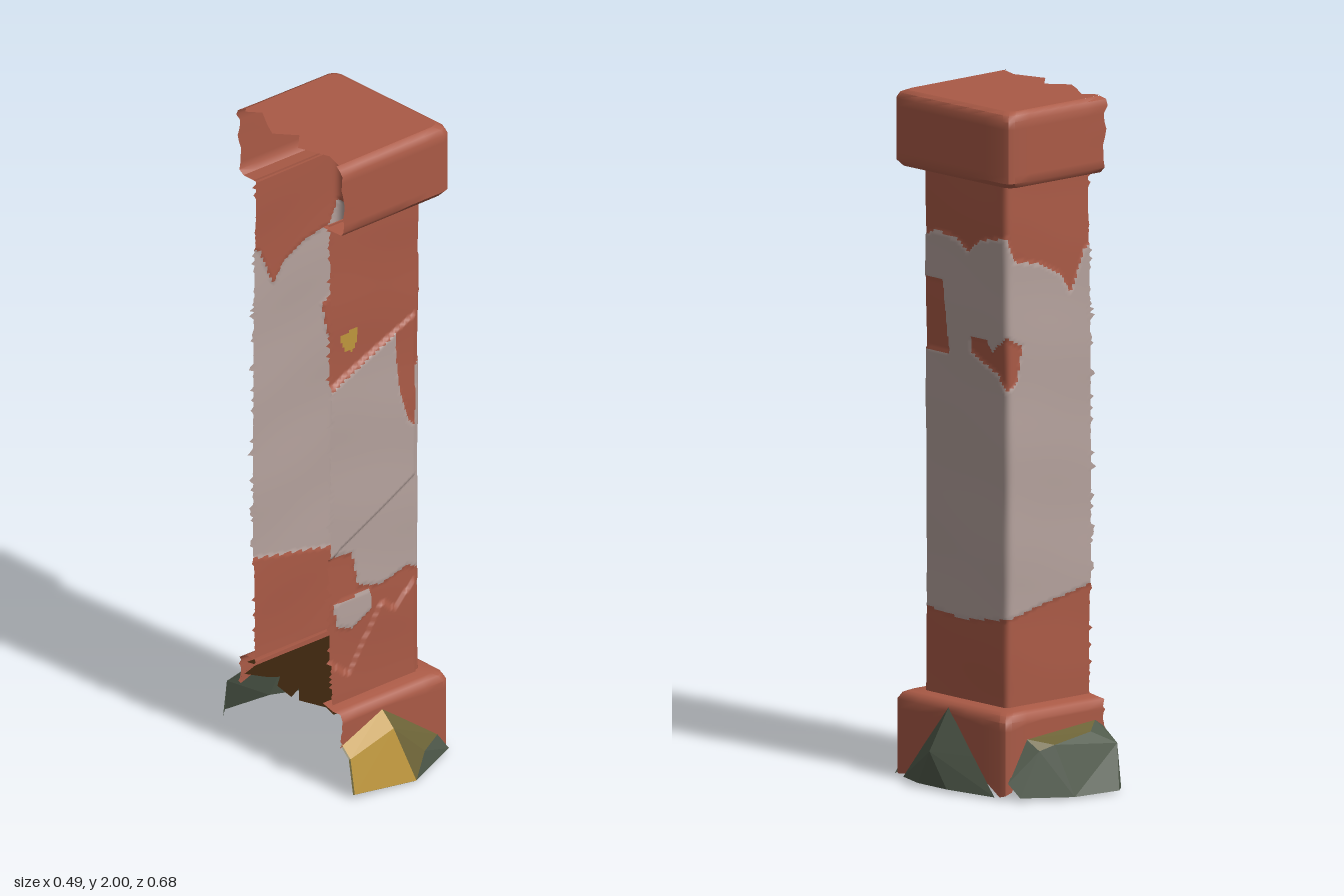
import * as THREE from 'three';
import { toCreasedNormals } from 'three/addons/utils/BufferGeometryUtils.js';

const mat = (name, color) => new THREE.MeshStandardMaterial({ name, color, side: THREE.DoubleSide });

// Seeded noise for the torn edges
let seed = 7;
const rnd = () => (seed = (seed * 16807) % 2147483647) / 2147483647;

function inside(poly, x, y) {
  let hit = false;
  for (let i = 0, j = poly.length - 1; i < poly.length; j = i++) {
    const [ax, ay] = poly[i], [bx, by] = poly[j];
    if ((ay > y) !== (by > y) && x < ((bx - ax) * (y - ay)) / (by - ay) + ax) hit = !hit;
  }
  return hit;
}

function buffer(pos, index) {
  const g = new THREE.BufferGeometry();
  g.setAttribute('position', new THREE.Float32BufferAttribute(pos, 3));
  g.setIndex(index);
  return g;
}

// Painted areas on the unrolled shaft: s runs front -> right side -> back, 0 at the front corner
const plasterArea = [
  [-0.4, 1.23], [-0.1, 1.36], [-0.097, 1.29], [-0.085, 1.18], [-0.05, 1.07], [-0.025, 1.05], [-0.015, 1.23], [0.005, 1.25],
  [0.005, 1.58], [0.055, 1.6], [0.145, 1.59], [0.195, 1.56], [0.245, 1.6], [0.355, 1.62], [0.385, 1.55], [0.485, 1.53],
  [0.56, 1.49], [0.6, 1.43], [0.65, 1.55], [0.7, 1.58], [0.7, 0.58], [0.5, 0.54], [0.36, 0.51], [0.17, 0.485],
  [0.01, 0.5], [0, 0.58], [-0.05, 0.6], [-0.15, 0.575], [-0.235, 0.6], [-0.255, 0.71], [-0.4, 0.73]];
const plasterScrap = [[-0.33, 0.565], [-0.19, 0.575], [-0.185, 0.51], [-0.26, 0.47], [-0.315, 0.49]];
const holes = [
  [[0.004, 1.46], [0.085, 1.46], [0.11, 1.25], [0.004, 1.25]],
  [[0.2, 1.31], [0.27, 1.31], [0.29, 1.28], [0.35, 1.33], [0.41, 1.3], [0.39, 1.2], [0.355, 1.17], [0.31, 1.22],
    [0.24, 1.25], [0.2, 1.27]]];
const ochreSpot = [[-0.307, 1.42], [-0.24, 1.428], [-0.238, 1.385], [-0.26, 1.357], [-0.287, 1.365]];
// Raised chunk of brick at the foot of the front
const chunk = [[-0.4, 0.42], [-0.275, 0.33], [-0.15, 0.52], [-0.1, 0.48], [0, 0.57], [0, 0], [-0.4, 0]];

function paint(s, y) {
  if (inside(ochreSpot, s, y)) return 2;
  if (holes.some((h) => inside(h, s, y))) return 0;
  return inside(plasterArea, s, y) || inside(plasterScrap, s, y) ? 1 : 0;
}

// Shaft: an open U-shaped wall with rounded corners, relief and a torn left edge
function shaftGeometry() {
  const cols = 128, rows = 190, r = 0.022, pos = [], lists = [[], [], []];
  const V = (x, z) => new THREE.Vector2(x, z);
  const FL = V(-0.187, 0.197), FR = V(0.155, 0.171), BR = V(0.125, -0.184), BL = V(-0.187, -0.157);
  const dir = (a, b) => b.clone().sub(a).normalize();
  const dF = dir(FL, FR), dS = dir(FR, BR), dB = dir(BR, BL);
  const side = FR.distanceTo(BR), s0 = -FL.distanceTo(FR), s1 = side + BR.distanceTo(BL);
  const ds = (s1 - s0) / cols, dy = 1.56 / rows;
  const round = (C, a, b, d) => {
    const t = (d + r) / (2 * r);
    return C.clone().addScaledVector(a, -r * (1 - t) ** 2).addScaledVector(b, r * t * t);
  };
  const at = (s) => {
    if (s < -r) return FR.clone().addScaledVector(dF, s);
    if (s < r) return round(FR, dF, dS, s);
    if (s < side - r) return FR.clone().addScaledVector(dS, s);
    if (s < side + r) return round(BR, dS, dB, s - side);
    return BR.clone().addScaledVector(dB, s - side);
  };
  for (let j = 0; j <= rows; j++) {
    const y = 0.23 + dy * j, lean = 0.004 * Math.cos(y * 3.6);
    for (let i = 0; i <= cols; i++) {
      const s = s0 + ds * i, p = at(s);
      const tangent = dir(at(s - 0.001), at(s + 0.001));
      // Plaster sits proud; the upper front slab overlaps the lower one
      let h = paint(s, y) === 1 ? 0.003 : 0;
      if (s < -r && y > 0.9 + 0.53 * s && y < 1.41 + 0.42 * s) h += 0.008;
      if (s < -r && inside(chunk, s, y)) h += 0.008;
      h += 0.002 * Math.sin(9 * s + 7 * y) * Math.sin(13 * y - 4 * s);
      const tear = i === 0 || i === cols ? -0.02 * rnd() ** 7 : 0;
      pos.push(p.x - tangent.y * h + lean + tear, y, p.y + tangent.x * h);
      if (i < cols && j < rows) {
        const a = j * (cols + 1) + i, c = a + cols + 1;
        lists[paint(s + ds / 2, y + dy / 2)].push(a, a + 1, c + 1, a, c + 1, c);
      }
    }
  }
  const g = buffer(pos, lists.flat());
  let start = 0;
  lists.forEach((l, k) => { g.addGroup(start, l.length, k); start += l.length; });
  g.computeVertexNormals();
  return g;
}

// Open block wall from [y, inset] rings around four corners: front-left, front-right, back-right, back-left.
// The optional skirt lifts the lower edge, point by point, to where the rocks cover it.
const wallTop = 0.225;
function blockGeometry([fl, fr, br, bl], rings, skirt) {
  const pos = [], index = [], c = 0.025;
  rings.forEach(([y, d], j) => {
    const f = [fr[0] - d, fr[1] - d], b = [br[0] - d, br[1] + d], path = [];
    const run = (p, q) => {
      for (let k = 0; k <= 6; k++) path.push([p[0] + ((q[0] - p[0]) * k) / 6, p[1] + ((q[1] - p[1]) * k) / 6]);
    };
    run([fl[0], fl[1] - d], [f[0] - c, f[1]]);
    path.push([f[0] - c * 0.3, f[1] - c * 0.3]);
    run([f[0], f[1] - c], [b[0], b[1] + c]);
    path.push([b[0] - c * 0.3, b[1] + c * 0.3]);
    run([b[0] - c, b[1]], [bl[0], bl[1] + d]);
    const n = path.length;
    path.forEach(([x, z], i) => {
      const lift = skirt && y < wallTop ? skirt[i] * (1 - y / wallTop) : 0;
      const tear = i === 0 || i === n - 1 ? -0.018 * rnd() ** 2 : 0;
      pos.push(x + tear, y + lift, z);
      if (j && i < n - 1) {
        const a = (j - 1) * n + i;
        index.push(a, a + 1, a + n + 1, a, a + n + 1, a + n);
      }
    });
  });
  return toCreasedNormals(buffer(pos, index), 0.7);
}

// Flat horizontal plate from an [x, z] outline
function plateGeometry(outline, y) {
  const g = new THREE.ShapeGeometry(new THREE.Shape(outline.map(([x, z]) => new THREE.Vector2(x, -z))));
  return g.rotateX(-Math.PI / 2).translate(0, y, 0);
}

// Faceted rock skin
function rockGeometry(points, faces) {
  const g = buffer(points.flat(), faces.flat()).toNonIndexed();
  g.computeVertexNormals();
  return g;
}

export function createModel() {
  const model = new THREE.Group();
  const brick = mat('brick red', 0xaa5a46), plaster = mat('plaster grey', 0xb5a29d);
  const ochre = mat('ochre', 0xc0983d), olive = mat('olive', 0x6c6337);
  const green = mat('moss green', 0x4f594a), soil = mat('dark soil', 0x3a230d);
  const add = (name, geometry, material) => {
    const m = new THREE.Mesh(geometry, material);
    m.name = name;
    model.add(m);
  };
  const wall = (y0, y1) => Array.from({ length: 9 }, (_, i) => [y0 + ((y1 - y0) * i) / 8, 0]);

  add('shaft', shaftGeometry(), [brick, plaster, ochre]);

  // Cap with bevelled rims and a torn top
  const cap = [[-0.188, 0.268], [0.218, 0.235], [0.175, -0.25], [-0.185, -0.225]];
  add('capWall', blockGeometry(cap, [[1.785, 0.08], [1.78, 0.012], ...wall(1.795, 1.975), [1.992, 0.008], [2, 0.025]]), brick);
  add('capTop', plateGeometry([
    [-0.188, 0.243], [0.168, 0.21], [0.1855, 0.2025], [0.193, 0.185], [0.15, -0.2], [0.1425, -0.2175], [0.125, -0.225],
    [-0.185, -0.2], [-0.2, -0.185], [-0.165, -0.15], [-0.2, -0.08], [-0.22, -0.03], [-0.165, 0.025], [-0.215, 0.085],
    [-0.175, 0.18]], 2), brick);

  // Base block, open behind the rocks, and the ragged soil ledge inside it
  const base = [[-0.19, 0.262], [0.213, 0.235], [0.182, -0.245], [-0.19, -0.218]];
  const skirt = [
    0.14, 0.16, 0.18, 0.16, 0.11, 0.07, 0.01, 0.005,
    0.005, 0.02, 0.1, 0.2, 0.12, 0.05, 0.005, 0.01,
    0.02, 0.13, 0.17, 0.17, 0.17, 0.17, 0.15];
  add('baseWall', blockGeometry(base, [...wall(0.003, wallTop), [0.243, 0.01], [0.25, 0.025], [0.255, 0.08]], skirt), brick);
  add('soilLedge', plateGeometry([
    [-0.19, 0.22], [0.18, 0.2], [0.15, -0.2], [-0.19, -0.19], [-0.18, -0.16], [-0.24, -0.135], [-0.2, -0.08], [-0.17, -0.06],
    [-0.21, -0.02], [-0.22, 0.06], [-0.17, 0.03], [-0.215, 0.09], [-0.18, 0.17]], 0.23), soil);

  // Front rock, with an olive lining behind its ochre face
  const front = [
    [-0.19, 0.015, 0.32], [0.015, 0.005, 0.34], [0.21, 0.005, 0.235], [-0.19, 0.12, 0.3], [-0.04, 0.175, 0.305],
    [-0.04, 0.215, 0.25], [-0.19, 0.15, 0.26], [0.075, 0.065, 0.3], [0.165, 0.065, 0.24]];
  const ochreFaces = [[0, 1, 4], [0, 4, 3], [3, 4, 5], [3, 5, 6]];
  add('frontRockOchre', rockGeometry(front, ochreFaces), ochre);
  add('frontRockLining', rockGeometry(front, ochreFaces).translate(0, -0.005, -0.008), olive);
  add('frontRockOlive', rockGeometry(front, [[4, 1, 7], [4, 7, 8], [4, 8, 5]]), olive);
  add('frontRockGreen', rockGeometry(front, [[1, 2, 7], [7, 2, 8]]), green);

  // Right-hand rock
  const side = [
    [0.197, 0.235, 0], [0.214, 0.003, 0.19], [0.239, 0.005, 0.09], [0.242, 0.01, -0.05], [0.185, 0.005, -0.2],
    [0.25, 0.11, 0.02], [0.21, 0.11, 0.1], [0.192, 0.11, -0.11]];
  add('sideRock', rockGeometry(side, [[0, 6, 5], [6, 1, 5], [1, 2, 5], [2, 3, 5], [3, 4, 5], [5, 4, 7], [0, 5, 7]]), green);

  // Back rock with an olive top
  const back = [
    [-0.185, 0.005, -0.31], [-0.155, 0.005, -0.34], [0, 0.005, -0.335], [0.15, 0.01, -0.275], [-0.19, 0.13, -0.285],
    [0.04, 0.155, -0.293], [0.085, 0.14, -0.28], [-0.16, 0.19, -0.22], [0.1, 0.17, -0.238], [0.17, 0.05, -0.244],
    [-0.11, 0.17, -0.265], [-0.19, 0.17, -0.218]];
  add('backRockGreen', rockGeometry(back, [
    [1, 0, 4], [2, 1, 4], [2, 4, 5], [3, 2, 6], [2, 5, 6], [9, 3, 6], [9, 6, 8], [5, 4, 10], [10, 4, 7], [4, 11, 7]]), green);
  add('backRockOlive', rockGeometry(back, [[10, 7, 8], [5, 10, 8], [6, 5, 8]]), olive);

  return model;
}
